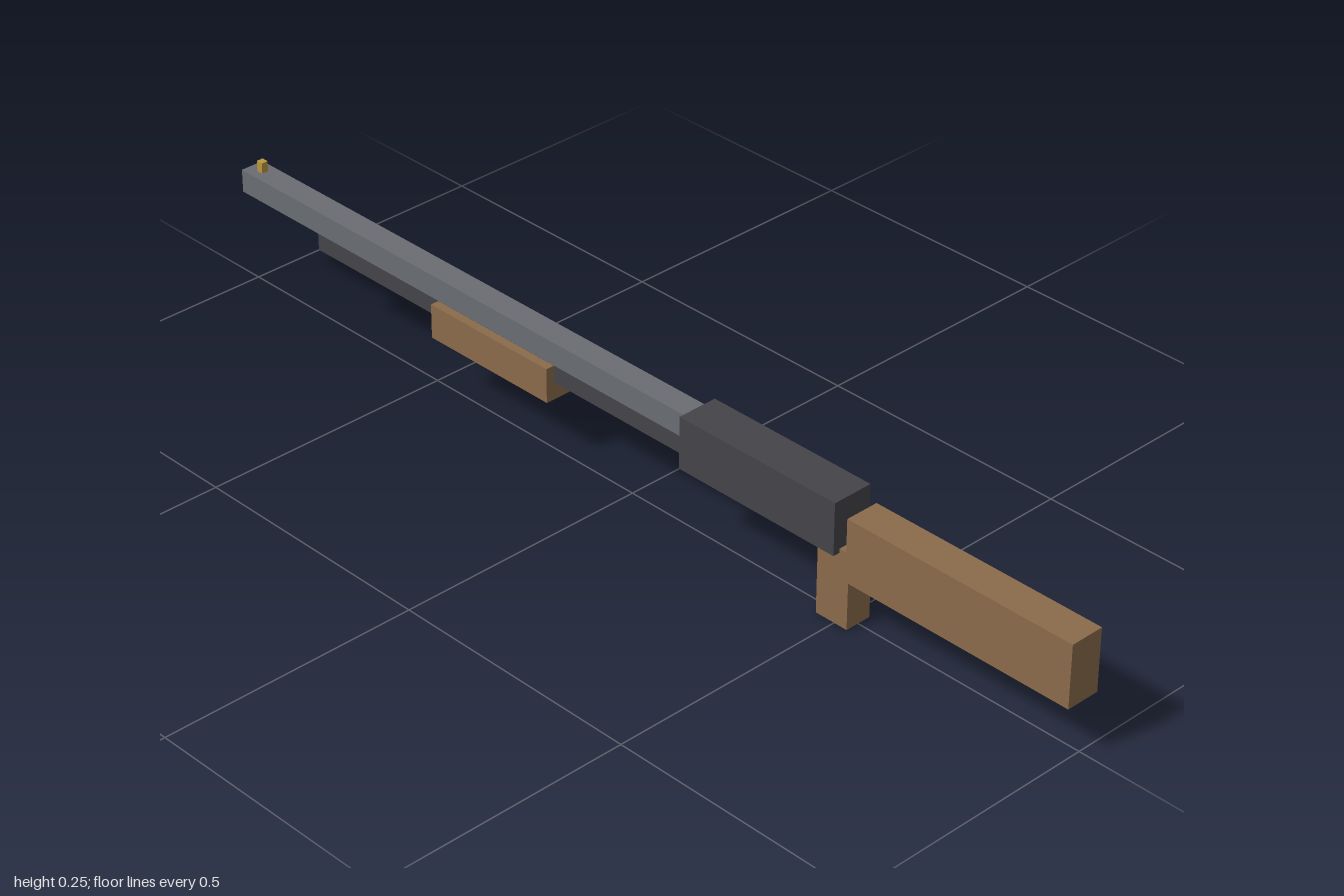
import * as THREE from 'three';

const mat = (name, color) => {
  const m = new THREE.MeshStandardMaterial({ color });
  m.name = name;
  return m;
};

export function createModel() {
  const group = new THREE.Group();
  const wood = mat('wood', 0x8b6b4b);
  const darkSteel = mat('dark steel', 0x454549);
  const steel = mat('steel', 0x6a6d72);
  const brass = mat('brass', 0xb8963e);

  // Box centred on x, given its width and its y and z ranges
  const block = (name, material, width, y0, y1, z0, z1) => {
    const mesh = new THREE.Mesh(new THREE.BoxGeometry(width, y1 - y0, z1 - z0), material);
    mesh.position.set(0, (y0 + y1) / 2, (z0 + z1) / 2);
    mesh.name = name;
    group.add(mesh);
  };

  // Wooden furniture
  block('stock', wood, 0.067, 0.097, 0.218, 0.528, 1);
  block('grip', wood, 0.053, 0, 0.148, 0.459, 0.528);
  block('foreEnd', wood, 0.074, 0.118, 0.185, -0.468, -0.172);

  // Metal parts
  block('receiver', darkSteel, 0.081, 0.14, 0.241, 0.154, 0.507);
  block('barrel', steel, 0.048, 0.189, 0.234, -1, 0.154);
  block('underBarrelTube', darkSteel, 0.04, 0.152, 0.189, -0.793, 0.154);
  block('frontSight', brass, 0.0134, 0.234, 0.255, -0.977, -0.963);

  return group;
}
